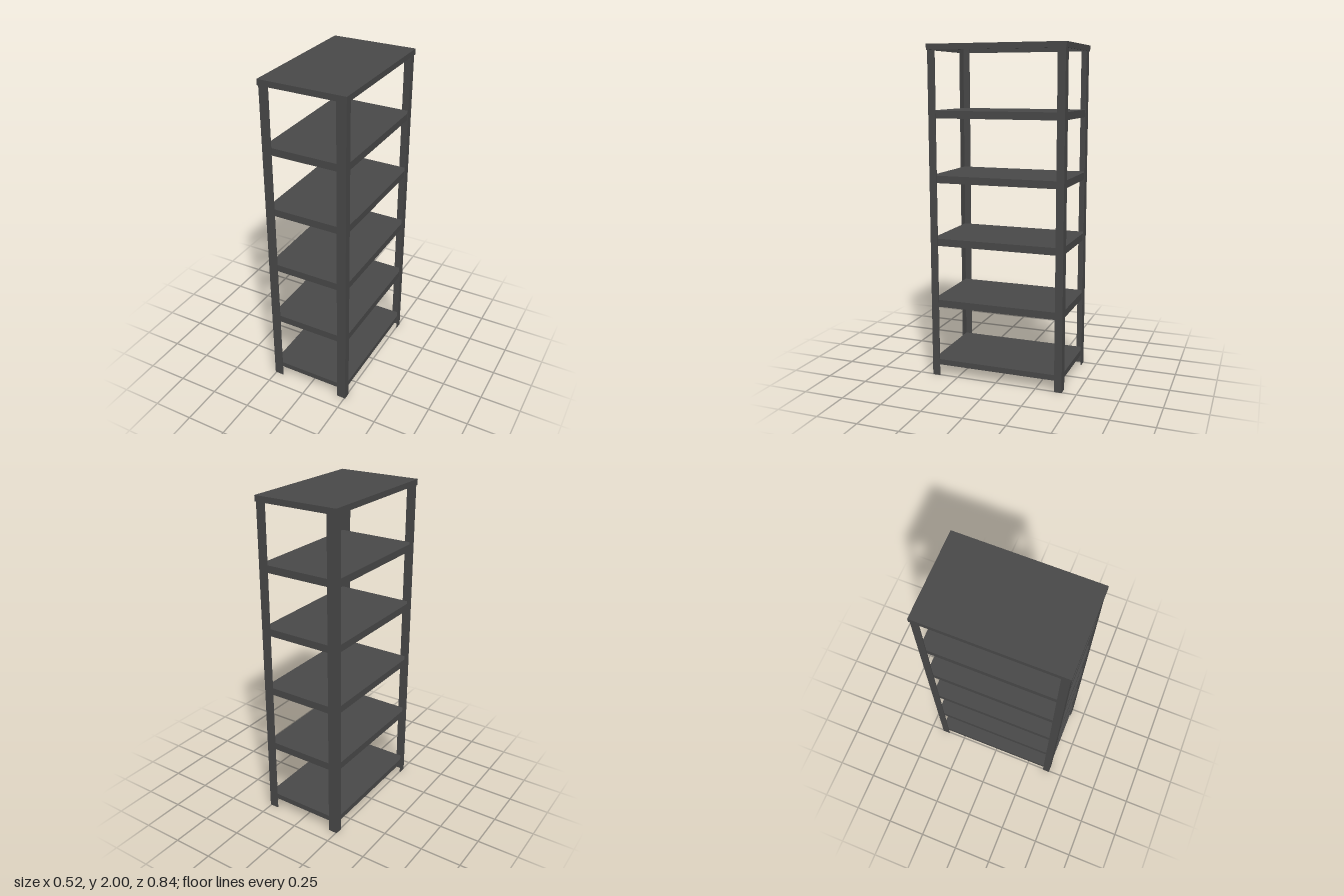
import * as THREE from 'three';

const SHEET = 0.005; // metal thickness

export function createModel() {
  const steel = new THREE.MeshStandardMaterial({ color: 0x4a4a4a });
  steel.name = 'dark grey steel';
  const model = new THREE.Group();
  model.name = 'shelvingUnit';

  function box(parent, name, w, h, d, x, y, z) {
    const mesh = new THREE.Mesh(new THREE.BoxGeometry(w, h, d), steel);
    mesh.name = name;
    mesh.position.set(x, y, z);
    parent.add(mesh);
  }

  // Sheet-metal tray: flat panel with a lip folded down on all four sides
  function addShelf(name, halfX, halfZ, top, lip) {
    const shelf = new THREE.Group();
    shelf.name = name;
    box(shelf, 'panel', halfX * 2, SHEET, halfZ * 2, 0, top - SHEET / 2, 0);
    const h = lip - SHEET;
    const y = top - SHEET - h / 2;
    for (const s of [-1, 1]) {
      box(shelf, 'endLip', halfX * 2, h, SHEET, 0, y, s * (halfZ - SHEET / 2));
      box(shelf, 'sideLip', SHEET, h, (halfZ - SHEET) * 2, s * (halfX - SHEET / 2), y, 0);
    }
    model.add(shelf);
  }

  // L-angle corner posts, open towards the inside
  const postX = 0.256, postZ = 0.413, wideX = 0.057, wideZ = 0.046;
  const profile = new THREE.Shape([
    [0, 0], [wideX, 0], [wideX, SHEET], [SHEET, SHEET], [SHEET, wideZ], [0, wideZ],
  ].map(([x, y]) => new THREE.Vector2(x, y)));

  for (const sx of [-1, 1]) {
    for (const sz of [-1, 1]) {
      const corner = new THREE.Shape(profile.getPoints().map(
        (p) => new THREE.Vector2(sx * (postX - p.x), -sz * (postZ - p.y))));
      const geometry = new THREE.ExtrudeGeometry(corner, { depth: 1.995, bevelEnabled: false });
      geometry.rotateX(-Math.PI / 2);
      const post = new THREE.Mesh(geometry, steel);
      post.name = (sz > 0 ? 'front' : 'back') + (sx > 0 ? 'Left' : 'Right') + 'Post';
      model.add(post);
    }
  }

  // Five shelves held between the posts
  for (let i = 0; i < 5; i++) {
    addShelf('shelf' + (i + 1), postX - SHEET, postZ - SHEET, 0.102 + i * 0.3796, i === 0 ? 0.034 : 0.044);
  }

  // Top cap fits over the posts
  addShelf('topShelf', 0.261, 0.418, 2, 0.034);

  return model;
}
